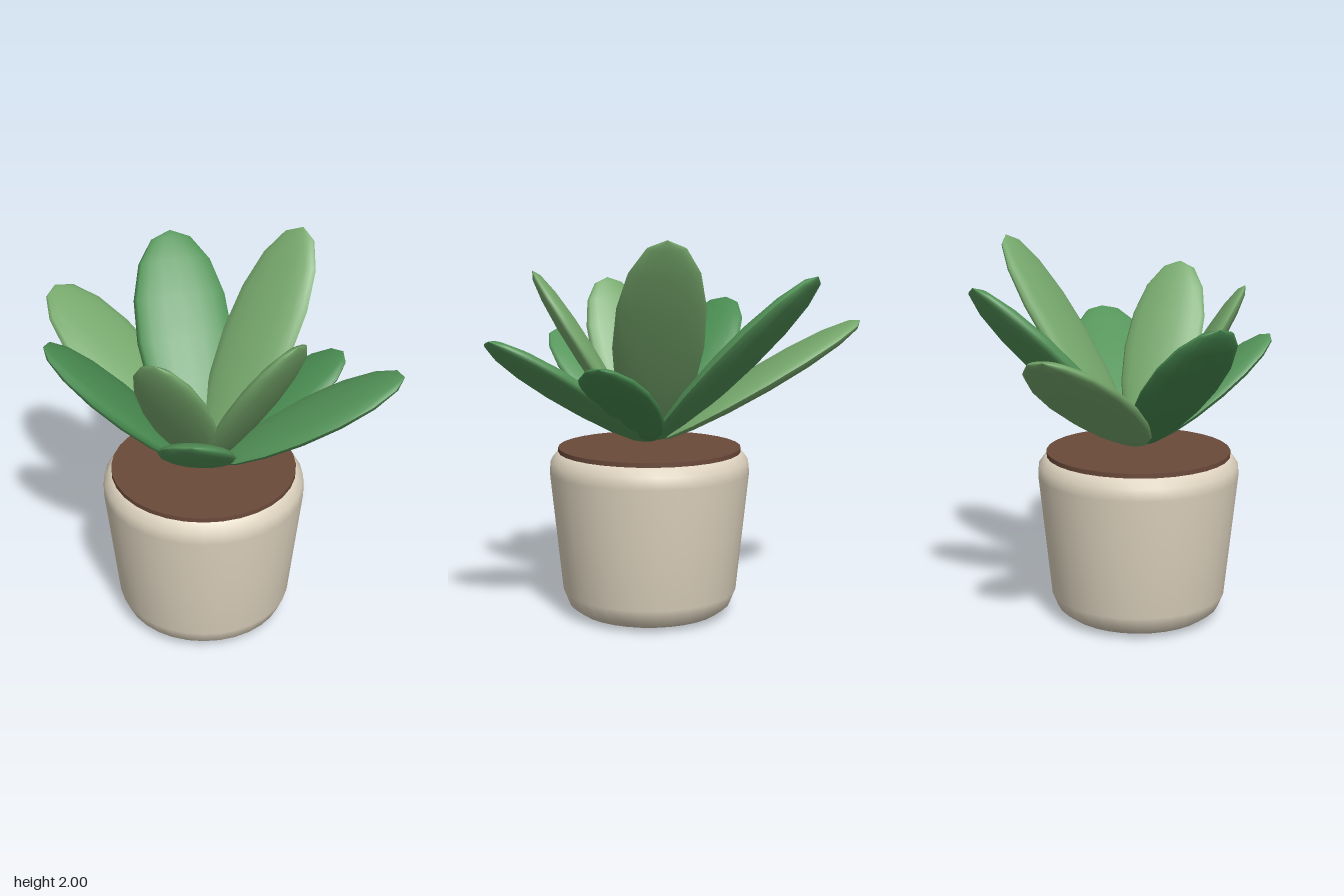
import * as THREE from 'three';

const CENTRE = new THREE.Vector3(-0.02, 0, 0.07);
const LIGHT = 0x76a86c, MID = 0x55955a, DARK = 0x488a50;

// tip position, blade width, colour
const LEAVES = [
  [[-0.97, 1.56, -0.54], 0.48, LIGHT],
  [[-0.38, 1.82, -0.80], 0.52, MID],
  [[0.38, 2.00, -0.57], 0.46, LIGHT],
  [[0.64, 1.40, -0.38], 0.38, DARK],
  [[0.98, 1.52, 0.04], 0.46, MID],
  [[0.49, 1.83, 0.40], 0.43, LIGHT],
  [[-0.14, 1.77, 0.60], 0.40, LIGHT],
  [[0.07, 1.48, 0.80], 0.38, MID],
  [[-0.77, 1.65, 0.31], 0.45, DARK],
];

const material = (color) => new THREE.MeshStandardMaterial({ color });

// Flattened ellipsoid, a little wider towards the tip
function leafGeometry(length, width) {
  const geo = new THREE.SphereGeometry(1, 16, 8);
  const pos = geo.attributes.position;
  for (let i = 0; i < pos.count; i++) {
    const t = pos.getY(i), w = 1 + 0.1 * t;
    pos.setXYZ(i, pos.getX(i) * w * width / 2, (t + 1) * length / 2, pos.getZ(i) * w * width * 0.13);
  }
  geo.computeVertexNormals();
  return geo;
}

function makeLeaf([tipXYZ, width, color]) {
  const tip = new THREE.Vector3(...tipXYZ);
  const outward = tip.clone().sub(CENTRE).setY(0).normalize();
  const base = CENTRE.clone().addScaledVector(outward, 0.05).setY(0.935);
  const along = tip.clone().sub(base);
  const leaf = new THREE.Mesh(leafGeometry(along.length(), width), material(color));
  along.normalize();
  // Blade width stays horizontal, its face turned up to the middle
  const side = new THREE.Vector3().crossVectors(along, outward).normalize();
  const face = new THREE.Vector3().crossVectors(side, along);
  leaf.quaternion.setFromRotationMatrix(new THREE.Matrix4().makeBasis(side, along, face));
  leaf.position.copy(base);
  return leaf;
}

export function createModel() {
  const model = new THREE.Group();
  model.name = 'pottedSucculent';

  // Tapered pot with rounded foot and rim
  const profile = [
    [0, 0], [0.32, 0.003], [0.385, 0.018], [0.435, 0.055], [0.465, 0.13],
    [0.498, 0.45], [0.531, 0.77], [0.525, 0.83], [0.49, 0.875], [0.45, 0.885], [0, 0.885],
  ].map(([r, y]) => new THREE.Vector2(r, y));
  const pot = new THREE.Mesh(new THREE.LatheGeometry(profile, 32), material(0xddd2be));
  pot.name = 'pot';
  pot.position.copy(CENTRE);
  model.add(pot);

  // Soil disc
  const soil = new THREE.Mesh(new THREE.CylinderGeometry(0.485, 0.485, 0.025, 32), material(0x6b4a3a));
  soil.name = 'soil';
  soil.position.copy(CENTRE).setY(0.8875);
  model.add(soil);

  // Rosette of leaves
  const rosette = new THREE.Group();
  rosette.name = 'leaves';
  LEAVES.forEach((spec, i) => {
    const leaf = makeLeaf(spec);
    leaf.name = `leaf${i + 1}`;
    rosette.add(leaf);
  });
  model.add(rosette);
  return model;
}
